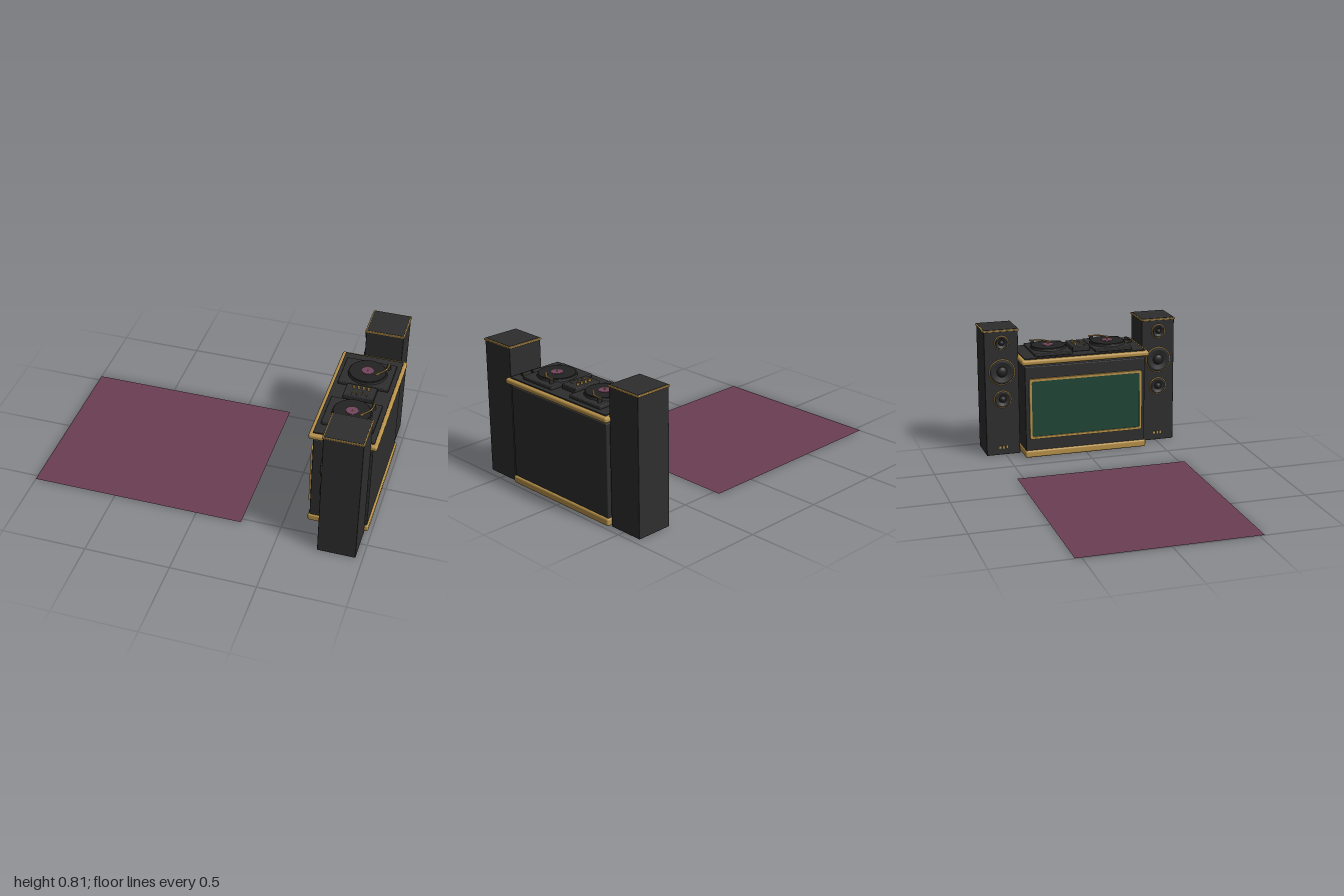
import * as THREE from 'three';
import { RoundedBoxGeometry } from 'three/addons/geometries/RoundedBoxGeometry.js';

const mat = (name, color, side = THREE.FrontSide) => {
  const m = new THREE.MeshStandardMaterial({ color, side });
  m.name = name;
  return m;
};

export function createModel() {
  const black = mat('charcoal', 0x2e2e2e);
  const dark = mat('dark vinyl', 0x232323);
  const gold = mat('gold', 0xb8924a);
  const green = mat('deep green', 0x1f4636);
  const plum = mat('plum', 0x6b3f53, THREE.DoubleSide);
  const rose = mat('rose label', 0x74445c);

  const add = (parent, name, geo, material, x = 0, y = 0, z = 0) => {
    const m = new THREE.Mesh(geo, material);
    m.name = name;
    m.position.set(x, y, z);
    parent.add(m);
    return m;
  };
  // Box given by its extents on each axis, optionally with rounded edges
  const box = (parent, name, material, [x0, x1], [y0, y1], [z0, z1], r = 0) => {
    const s = [x1 - x0, y1 - y0, z1 - z0];
    const geo = r ? new RoundedBoxGeometry(...s, 3, r) : new THREE.BoxGeometry(...s);
    return add(parent, name, geo, material, (x0 + x1) / 2, (y0 + y1) / 2, (z0 + z1) / 2);
  };
  const group = (parent, name, x = 0, y = 0, z = 0) => {
    const g = new THREE.Group();
    g.name = name;
    g.position.set(x, y, z);
    parent.add(g);
    return g;
  };

  const root = new THREE.Group();
  root.name = 'djBooth';

  // Dance floor: a single flat sheet
  const floor = add(root, 'danceFloor', new THREE.PlaneGeometry(1.27, 1.07), plum, -0.365, 0.002, -0.004);
  floor.rotation.x = -Math.PI / 2;

  // Counter
  const booth = group(root, 'booth');
  box(booth, 'plinth', gold, [0.625, 0.98], [0, 0.046], [-0.397, 0.397], 0.012);
  box(booth, 'boothBody', black, [0.635, 0.97], [0.04, 0.59], [-0.39, 0.39], 0.006);
  box(booth, 'counterEdge', gold, [0.61, 0.995], [0.604, 0.636], [-0.413, 0.413], 0.012);
  box(booth, 'counterTop', black, [0.632, 0.975], [0.63, 0.643], [-0.39, 0.39]);

  // Framed panel facing the dance floor
  const rect = (shape, w, h, r) => {
    shape.moveTo(-w + r, -h);
    shape.lineTo(w - r, -h).quadraticCurveTo(w, -h, w, -h + r);
    shape.lineTo(w, h - r).quadraticCurveTo(w, h, w - r, h);
    shape.lineTo(-w + r, h).quadraticCurveTo(-w, h, -w, h - r);
    shape.lineTo(-w, -h + r).quadraticCurveTo(-w, -h, -w + r, -h);
    return shape;
  };
  const frameShape = rect(new THREE.Shape(), 0.367, 0.195, 0.015);
  frameShape.holes.push(rect(new THREE.Path(), 0.352, 0.18, 0.012));
  const frame = add(booth, 'panelFrame', new THREE.ExtrudeGeometry(frameShape, { depth: 0.016, bevelEnabled: false }),
    gold, 0.637, 0.317, 0);
  frame.rotation.y = -Math.PI / 2;
  box(booth, 'greenPanel', green, [0.628, 0.637], [0.13, 0.504], [-0.358, 0.358]);

  // Turntables
  for (const z of [-0.198, 0.192]) {
    const t = group(root, 'turntable', 0.803, 0.643, z);
    box(t, 'turntableBase', black, [-0.147, 0.147], [0, 0.02], [-0.122, 0.122], 0.005);
    add(t, 'platter', new THREE.CylinderGeometry(0.11, 0.113, 0.012, 48), black, 0, 0.026, 0);
    add(t, 'record', new THREE.CylinderGeometry(0.105, 0.105, 0.006, 48), dark, 0, 0.034, 0);
    add(t, 'recordLabel', new THREE.CylinderGeometry(0.034, 0.034, 0.003, 32), rose, 0, 0.0378, 0);
    add(t, 'spindle', new THREE.CylinderGeometry(0.003, 0.003, 0.008, 8), gold, 0, 0.042, 0);
    add(t, 'armPivot', new THREE.CylinderGeometry(0.011, 0.013, 0.026, 20), black, 0.106, 0.03, -0.075);
    const path = new THREE.CatmullRomCurve3([
      new THREE.Vector3(0.107, 0.045, -0.097), new THREE.Vector3(0.105, 0.045, -0.05),
      new THREE.Vector3(0.098, 0.045, -0.025), new THREE.Vector3(0.056, 0.043, 0.027)]);
    add(t, 'toneArm', new THREE.TubeGeometry(path, 20, 0.0045, 8), gold);
    const head = add(t, 'armHead', new THREE.BoxGeometry(0.012, 0.007, 0.022), gold, 0.06, 0.042, 0.022);
    head.rotation.y = -0.7;
  }

  // Mixer with knobs and faders
  const mixer = group(root, 'mixer', 0.803, 0.643, -0.004);
  box(mixer, 'mixerBody', black, [-0.088, 0.088], [0, 0.031], [-0.057, 0.057], 0.005);
  for (let i = 0; i < 4; i++) {
    const x = (i - 1.5) * 0.028;
    add(mixer, 'knob', new THREE.CylinderGeometry(0.007, 0.008, 0.014, 16), gold, x, 0.037, -0.025);
    box(mixer, 'faderSlot', dark, [x - 0.002, x + 0.002], [0.03, 0.032], [0.005, 0.043]);
    box(mixer, 'fader', gold, [x - 0.005, x + 0.005], [0.03, 0.037], [0.019, 0.025]);
  }

  // Headphones lying on the counter
  const phones = group(root, 'headphones', 0.878, 0.65, 0.347);
  const band = add(phones, 'headband', new THREE.TorusGeometry(0.038, 0.0045, 8, 24, Math.PI), gold);
  band.rotation.x = -Math.PI / 2;
  for (const s of [-1, 1]) {
    const cup = add(phones, 'earCup', new THREE.CylinderGeometry(0.013, 0.013, 0.012, 20), dark, s * 0.036, 0, 0.006);
    cup.rotation.z = Math.PI / 2;
  }

  // Driver profile: surround, recessed cone and domed cap, turned about its axis
  const driver = (parent, y, r) => {
    const g = group(parent, 'driver', 0.741, y, 0);
    g.rotation.z = Math.PI / 2;
    const pts = [[1, 0], [0.96, 0.012], [0.84, 0.018], [0.76, 0.014], [0.4, 0.006]]
      .map(([a, h]) => new THREE.Vector2(a * r, h));
    add(g, 'driverCone', new THREE.LatheGeometry(pts, 40), black);
    const cap = add(g, 'driverCap', new THREE.SphereGeometry(0.42 * r, 24, 10, 0, Math.PI * 2, 0, Math.PI / 2), dark, 0, 0.005, 0);
    cap.scale.y = 0.022 / (0.42 * r);
    const ring = add(g, 'driverRing', new THREE.TorusGeometry(r * 0.98, 0.005, 8, 40), gold, 0, 0.006, 0);
    ring.rotation.x = Math.PI / 2;
  };

  // Tower speakers on both sides
  for (const s of [-1, 1]) {
    const sp = group(root, 'speaker', 0, 0, s * 0.513);
    box(sp, 'cabinet', black, [0.74, 0.96], [0, 0.802], [-0.108, 0.108], 0.004);
    box(sp, 'topTrim', gold, [0.735, 0.965], [0.8, 0.811], [-0.114, 0.114], 0.004);
    box(sp, 'topInset', black, [0.742, 0.958], [0.804, 0.813], [-0.107, 0.107]);
    driver(sp, 0.73, 0.042);
    driver(sp, 0.543, 0.08);
    driver(sp, 0.367, 0.053);
    for (const i of [-1, 0, 1]) {
      box(sp, 'badgeBar', gold, [0.736, 0.742], [0.042, 0.058], [i * 0.022 - 0.006, i * 0.022 + 0.006]);
    }
  }
  return root;
}
